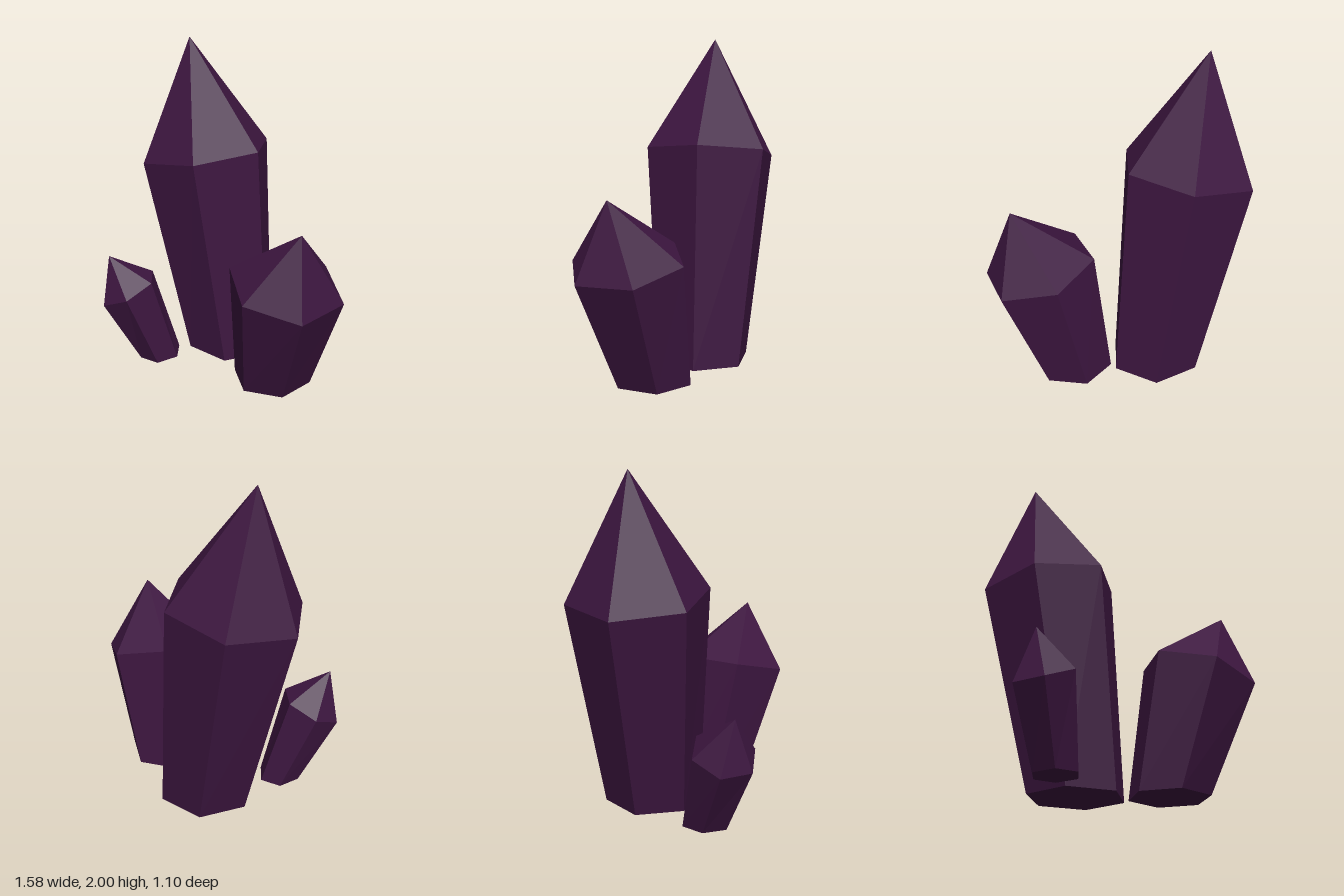
import * as THREE from 'three';

// Hexagonal ring from its centre and two neighbouring corner offsets
function hexRing(centre, a, b) {
  const c = new THREE.Vector3(...centre);
  const u = new THREE.Vector3(...a);
  const v = new THREE.Vector3(...b);
  const half = [u, v, v.clone().sub(u)];
  return [...half.map((p) => c.clone().add(p)), ...half.map((p) => c.clone().sub(p))];
}

// Faceted crystal: flat foot, flaring six-sided shaft, off-centre point
function crystal(name, foot, shoulder, tip, material) {
  const low = hexRing(...foot);
  const high = hexRing(...shoulder);
  const apex = new THREE.Vector3(...tip);
  const corners = [];
  for (let i = 0; i < 6; i++) {
    const j = (i + 1) % 6;
    corners.push(low[j], low[i], high[i], low[j], high[i], high[j]); // shaft
    corners.push(high[j], high[i], apex); // point
    if (i > 0 && i < 5) corners.push(low[0], low[i], low[j]); // foot
  }
  const geometry = new THREE.BufferGeometry().setFromPoints(corners);
  geometry.computeVertexNormals();
  const mesh = new THREE.Mesh(geometry, material);
  mesh.name = name;
  return mesh;
}

export function createModel() {
  const group = new THREE.Group();
  group.name = 'crystalCluster';
  const material = new THREE.MeshStandardMaterial({ color: 0x3d1640, flatShading: true });

  group.add(
    crystal('largeCrystal',
      [[-0.18, 0, -0.192], [-0.147, 0, -0.252], [0.147, 0, -0.252]],
      [[-0.38, 1.293, -0.192], [-0.205, -0.035, -0.362], [0.205, 0.035, -0.362]],
      [-0.505, 2, -0.19], material),
    crystal('mediumCrystal',
      [[0.31, 0, 0.01], [-0.19, 0, -0.15], [0.035, 0, -0.24]],
      [[0.472, 0.725, 0.112], [-0.262, 0.08, -0.212], [0.052, 0.01, -0.342]],
      [0.615, 1.1, 0.178], material),
    crystal('smallCrystal',
      [[-0.437, 0, 0.235], [-0.085, 0, -0.115], [0.045, 0, -0.135]],
      [[-0.561, 0.483, 0.375], [-0.127, -0.004, -0.142], [0.046, 0.07, -0.175]],
      [-0.635, 0.715, 0.457], material),
  );
  return group;
}
